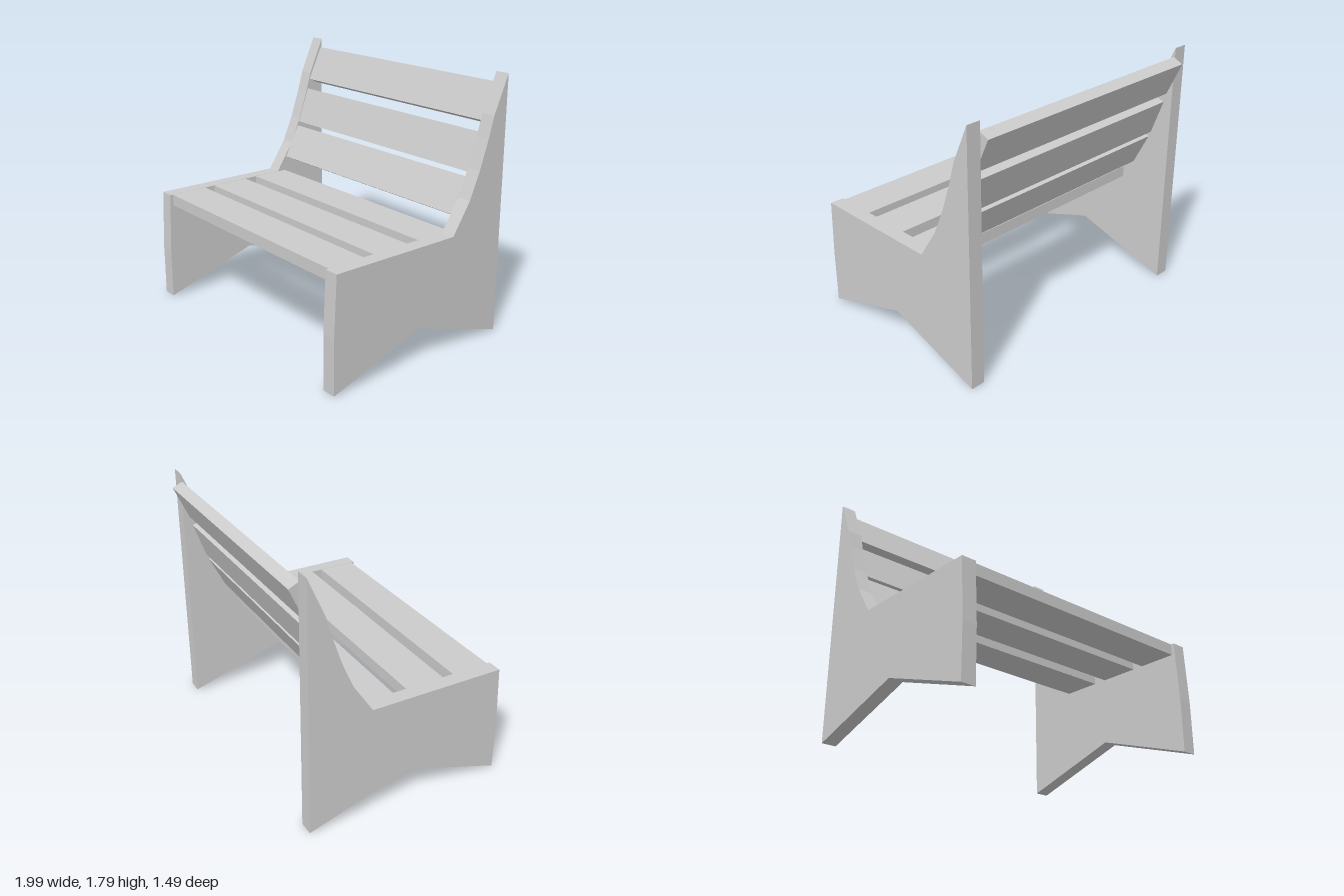
import * as THREE from 'three';

const material = new THREE.MeshStandardMaterial({ color: 0xcccccc, flatShading: true });
const INNER_L = 0.892, INNER_R = -0.897; // inner faces of the side panels
const THICK = 0.08;

// Side panel outline as (z, y): front edge, flat seat edge, curved back edge, notched foot
const OUTLINE = [
  [0.745, 0], [0.745, 0.37], [0.727, 0.788], [-0.24, 0.788], [-0.38, 1.0], [-0.46, 1.185],
  [-0.53, 1.39], [-0.57, 1.53], [-0.685, 1.79], [-0.685, 0], [0.045, 0.232],
];

function sidePanel(name, xMin, xMax) {
  const shape = new THREE.Shape(OUTLINE.map(([z, y]) => new THREE.Vector2(z, y)));
  const geo = new THREE.ExtrudeGeometry(shape, { depth: xMax - xMin, bevelEnabled: false });
  geo.rotateY(-Math.PI / 2);
  geo.translate(xMax, 0, 0);
  const mesh = new THREE.Mesh(geo, material);
  mesh.name = name;
  return mesh;
}

function slat(name, height, depth) {
  const mesh = new THREE.Mesh(new THREE.BoxGeometry(INNER_L - INNER_R, height, depth), material);
  mesh.name = name;
  mesh.position.x = (INNER_L + INNER_R) / 2;
  return mesh;
}

export function createModel() {
  const bench = new THREE.Group();
  bench.name = 'bench';

  bench.add(sidePanel('leftSidePanel', INNER_L, 0.993), sidePanel('rightSidePanel', -1, INNER_R));

  // Seat slats: front z, back z
  [[0.705, 0.43], [0.35, 0.068], [-0.03, -0.308]].forEach(([front, back], i) => {
    const s = slat('seatSlat' + (i + 1), THICK, front - back);
    s.position.y = 0.787 - THICK / 2;
    s.position.z = (front + back) / 2;
    bench.add(s);
  });

  // Leaning back slats: front face from bottom (z, y) to top (z, y)
  [
    [-0.325, 0.895, -0.443, 1.13],
    [-0.455, 1.16, -0.545, 1.413],
    [-0.565, 1.485, -0.675, 1.725],
  ].forEach(([z0, y0, z1, y1], i) => {
    const lean = Math.atan2(z0 - z1, y1 - y0);
    const s = slat('backSlat' + (i + 1), Math.hypot(z1 - z0, y1 - y0), THICK);
    s.rotation.x = -lean;
    s.position.y = (y0 + y1) / 2 - Math.sin(lean) * THICK / 2;
    s.position.z = (z0 + z1) / 2 - Math.cos(lean) * THICK / 2;
    bench.add(s);
  });

  return bench;
}
